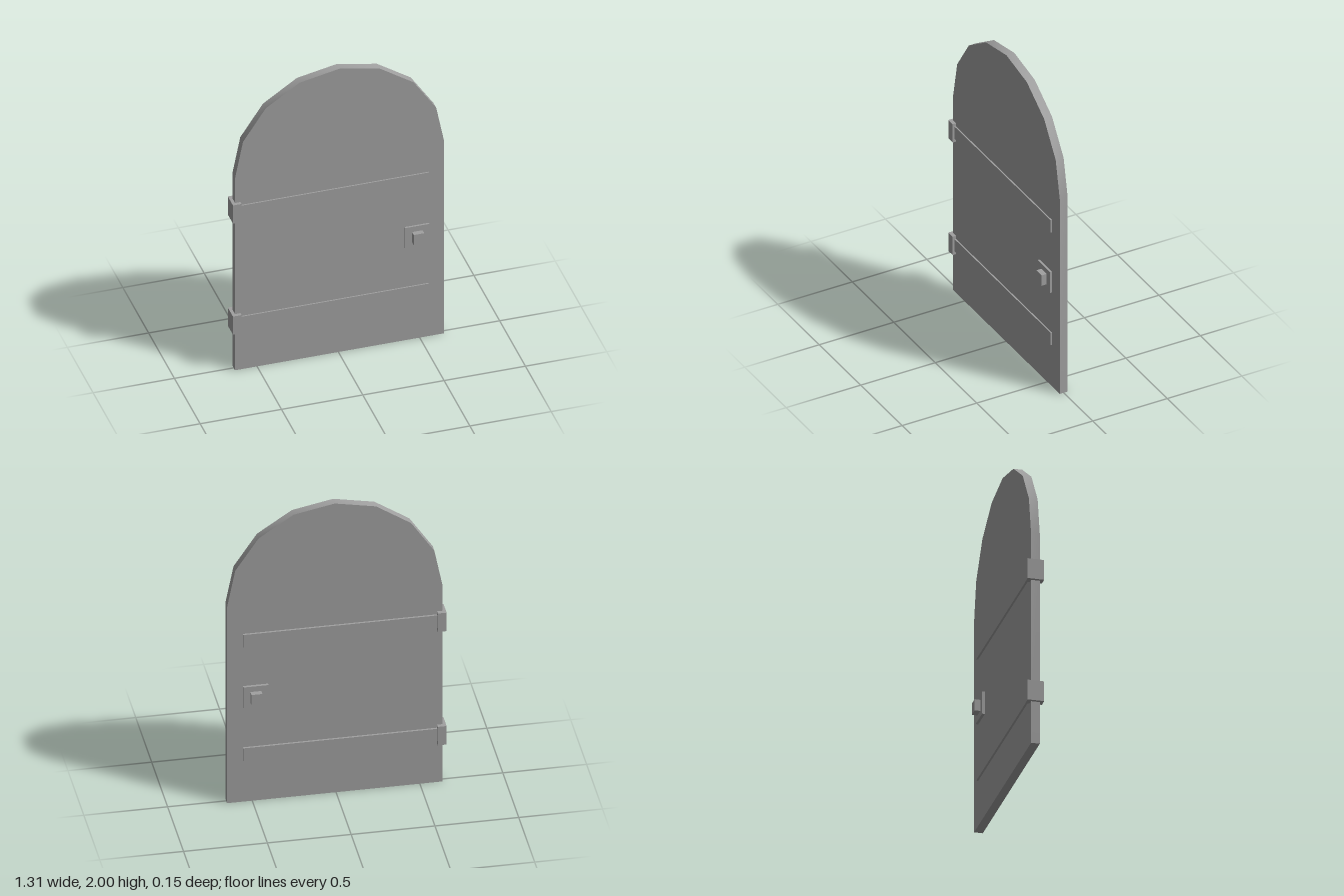
import * as THREE from 'three';
import { toCreasedNormals } from 'three/addons/utils/BufferGeometryUtils.js';

export function createModel() {
  const model = new THREE.Group();
  model.name = 'archedDoor';
  const grey = new THREE.MeshStandardMaterial({ color: 0xa0a0a0 });
  grey.name = 'plain grey';

  // Box given by its lower and upper limits on each axis
  function addBox(name, [x0, x1], [y0, y1], [z0, z1]) {
    const mesh = new THREE.Mesh(new THREE.BoxGeometry(x1 - x0, y1 - y0, z1 - z0), grey);
    mesh.position.set((x0 + x1) / 2, (y0 + y1) / 2, (z0 + z1) / 2);
    mesh.name = name;
    model.add(mesh);
  }

  // Door panel: straight sides under an eight-sided round arch
  const radius = 0.643, centreX = 0.0075, spring = 2 - radius, thickness = 0.053;
  const outline = new THREE.Shape();
  outline.moveTo(centreX - radius, 0);
  outline.lineTo(centreX + radius, 0);
  for (let i = 0; i <= 8; i++) {
    const a = (i * Math.PI) / 8;
    outline.lineTo(centreX + radius * Math.cos(a), spring + radius * Math.sin(a));
  }
  outline.closePath();
  const slab = new THREE.ExtrudeGeometry(outline, { depth: thickness, bevelEnabled: false });
  slab.translate(0, 0, -thickness / 2);
  const panel = new THREE.Mesh(toCreasedNormals(slab, 0.6), grey);
  panel.name = 'doorPanel';
  model.add(panel);

  // Strap hinges, running through to both faces
  for (const [label, y] of [['lower', 0.333], ['upper', 1.118]]) {
    addBox(label + 'Strap', [-0.605, 0.556], [y - 0.043, y + 0.043], [-0.039, 0.035]);
    addBox(label + 'HingeBlock', [-0.655, -0.602], [y - 0.064, y + 0.064], [-0.052, 0.048]);
  }

  // Lock plate and square knob on both faces
  addBox('lockPlate', [0.406, 0.556], [0.655, 0.8], [-0.043, 0.039]);
  addBox('knob', [0.449, 0.514], [0.692, 0.764], [-0.077, 0.072]);

  return model;
}
